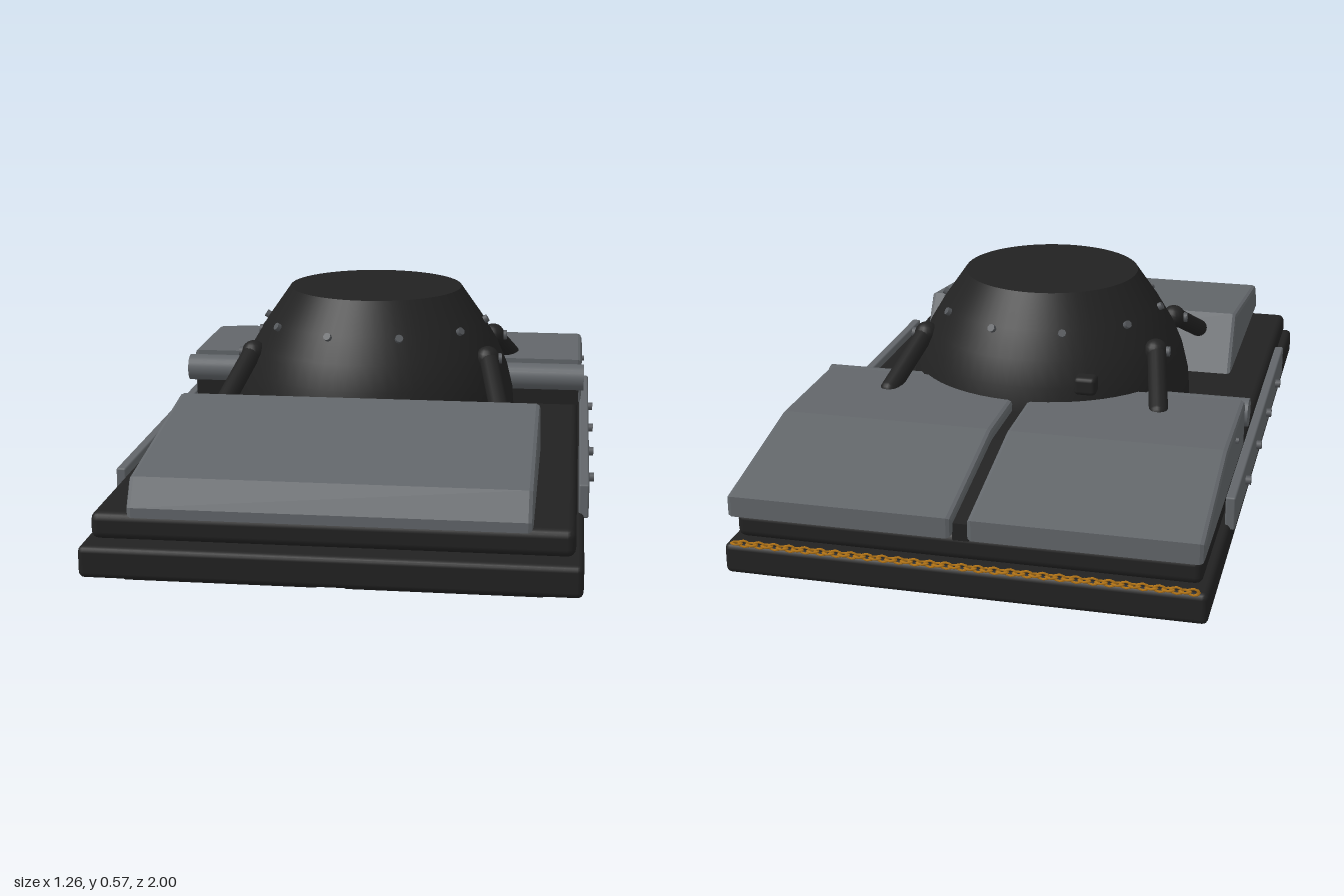
import * as THREE from 'three';
import { RoundedBoxGeometry } from 'three/addons/geometries/RoundedBoxGeometry.js';
import { mergeGeometries } from 'three/addons/utils/BufferGeometryUtils.js';

const mat = (name, color) => new THREE.MeshStandardMaterial({ name, color });

export function createModel() {
  const model = new THREE.Group();
  model.name = 'armouredVehicle';
  const black = mat('blackRubber', 0x222222);
  const grey = mat('greyArmour', 0x62666a);
  const steel = mat('rivetSteel', 0x55585c);
  const orange = mat('orangeChain', 0xb87818);

  const add = (name, geo, material, x = 0, y = 0, z = 0) => {
    const m = new THREE.Mesh(geo, material);
    m.name = name;
    m.position.set(x, y, z);
    model.add(m);
    return m;
  };
  const rbox = (w, h, d, r) => new RoundedBoxGeometry(w, h, d, 2, r);

  // Extrude a [z, y] side profile across x, with softened edges
  const prism = (profile, width, bevel) => {
    const shape = new THREE.Shape(profile.map(([z, y]) => new THREE.Vector2(z, y)));
    const geo = new THREE.ExtrudeGeometry(shape, {
      depth: width - 2 * bevel, bevelEnabled: true, bevelThickness: bevel,
      bevelSize: bevel, bevelOffset: -bevel, bevelSegments: 2, steps: 1,
    });
    geo.translate(0, 0, -(width - 2 * bevel) / 2);
    geo.rotateY(-Math.PI / 2);
    return geo;
  };

  // Two stacked hull slabs
  add('lowerHull', rbox(1.21, 0.08, 1.99, 0.015), black, 0, 0.067, 0.005);
  add('upperHull', rbox(1.17, 0.068, 1.9, 0.02), black, 0, 0.143, 0);

  // Two rows of ground pads
  for (let i = 0; i < 8; i++)
    for (const s of [-1, 1])
      add('groundPad', rbox(0.485, 0.04, 0.095, 0.008), black, s * 0.273, 0.02, 0.882 - i * 0.251);

  // Front armour wedge
  add('frontArmour', prism([[0.985, 0.18], [0.985, 0.205], [0.945, 0.272], [0.405, 0.342], [0.31, 0.18]], 0.97, 0.012), grey);

  // Pair of rear engine covers with a dark seam between them
  const rearProfile = [[-0.245, 0.18], [-0.245, 0.313], [-0.6, 0.313], [-0.985, 0.235], [-0.985, 0.182]];
  for (const s of [-1, 1]) {
    add('rearCover', prism(rearProfile, 0.574, 0.012), grey, s * 0.306, 0, 0);
    const rivet = add('coverRivet', new THREE.CylinderGeometry(0.008, 0.008, 0.012, 8), steel, s * 0.595, 0.275, -0.44);
    rivet.rotation.z = Math.PI / 2;
  }
  add('coverSeam', prism([[-0.25, 0.17], [-0.25, 0.285], [-0.6, 0.285], [-0.965, 0.215], [-0.965, 0.17]], 0.045, 0.004), black);
  add('coverSill', new THREE.BoxGeometry(1.17, 0.045, 0.02), black, 0, 0.2, -0.24);

  // Hinge roll in front of the rear covers
  const hinge = add('hingeRoll', new THREE.CylinderGeometry(0.039, 0.039, 1.2, 24), grey, 0, 0.267, -0.213);
  hinge.rotation.z = Math.PI / 2;

  // Turret dome with a flat roof
  const dome = [[0.4, 0.17], [0.4, 0.22], [0.395, 0.28], [0.378, 0.35], [0.35, 0.415], [0.308, 0.485], [0.245, 0.575]]
    .map(([r, y]) => new THREE.Vector2(r, y));
  add('turret', new THREE.LatheGeometry(dome, 64), black);
  const roof = add('turretRoof', new THREE.CircleGeometry(0.245, 64), black, 0, 0.575, 0);
  roof.rotation.x = -Math.PI / 2;

  // Ring of rivets around the turret
  for (let i = 0; i < 10; i++) {
    const a = (i / 10) * Math.PI * 2;
    const g = new THREE.Group();
    g.name = 'turretRivet';
    g.position.set(Math.cos(a) * 0.312, 0.481, Math.sin(a) * 0.312);
    g.rotation.y = -a;
    const head = new THREE.Mesh(new THREE.CylinderGeometry(0.011, 0.011, 0.02, 8), steel);
    head.name = 'turretRivetHead';
    head.rotation.z = -Math.PI / 2 + 0.55;
    g.add(head);
    model.add(g);
  }
  add('turretLug', rbox(0.06, 0.05, 0.05, 0.012), black, -0.175, 0.36, -0.345);

  // Four slanted arms, each with a ball joint and pin on the turret
  for (const sx of [-1, 1])
    for (const sz of [-1, 1]) {
      const top = new THREE.Vector3(sx * 0.335, 0.4, sz * 0.165);
      const end = new THREE.Vector3(sx * 0.375, 0.305, sz * 0.36);
      const dir = end.clone().sub(top);
      const mid = top.clone().add(end).multiplyScalar(0.5);
      const arm = add('arm', new THREE.CapsuleGeometry(0.026, dir.length(), 6, 16), black, mid.x, mid.y, mid.z);
      arm.quaternion.setFromUnitVectors(new THREE.Vector3(0, 1, 0), dir.normalize());
      add('armJoint', new THREE.SphereGeometry(0.034, 16, 12), black, sx * 0.33, 0.403, sz * 0.155);
      const pin = add('armPin', new THREE.CylinderGeometry(0.014, 0.014, 0.03, 10), steel, sx * 0.355, 0.404, sz * 0.155);
      pin.rotation.z = Math.PI / 2;
    }

  // Side skirts with bolts
  for (const s of [-1, 1]) {
    add('sideSkirt', rbox(0.026, 0.09, 1.19, 0.005), grey, s * 0.603, 0.137, 0);
    for (let i = 0; i < 4; i++) {
      const bolt = add('skirtBolt', new THREE.CylinderGeometry(0.012, 0.012, 0.02, 10), steel, s * 0.62, 0.137, 0.378 - i * 0.25);
      bolt.rotation.z = Math.PI / 2;
    }
  }

  // Rear chain of alternating links
  const links = [];
  for (let i = 0; i < 58; i++) {
    const link = new THREE.TorusGeometry(0.0085, 0.0032, 4, 8);
    link.scale(1.5, 1, 1);
    if (i % 2) link.rotateX(Math.PI / 2);
    link.translate(-0.57 + i * 0.02, 0.113, -0.99);
    links.push(link);
  }
  add('rearChain', mergeGeometries(links), orange);

  return model;
}
